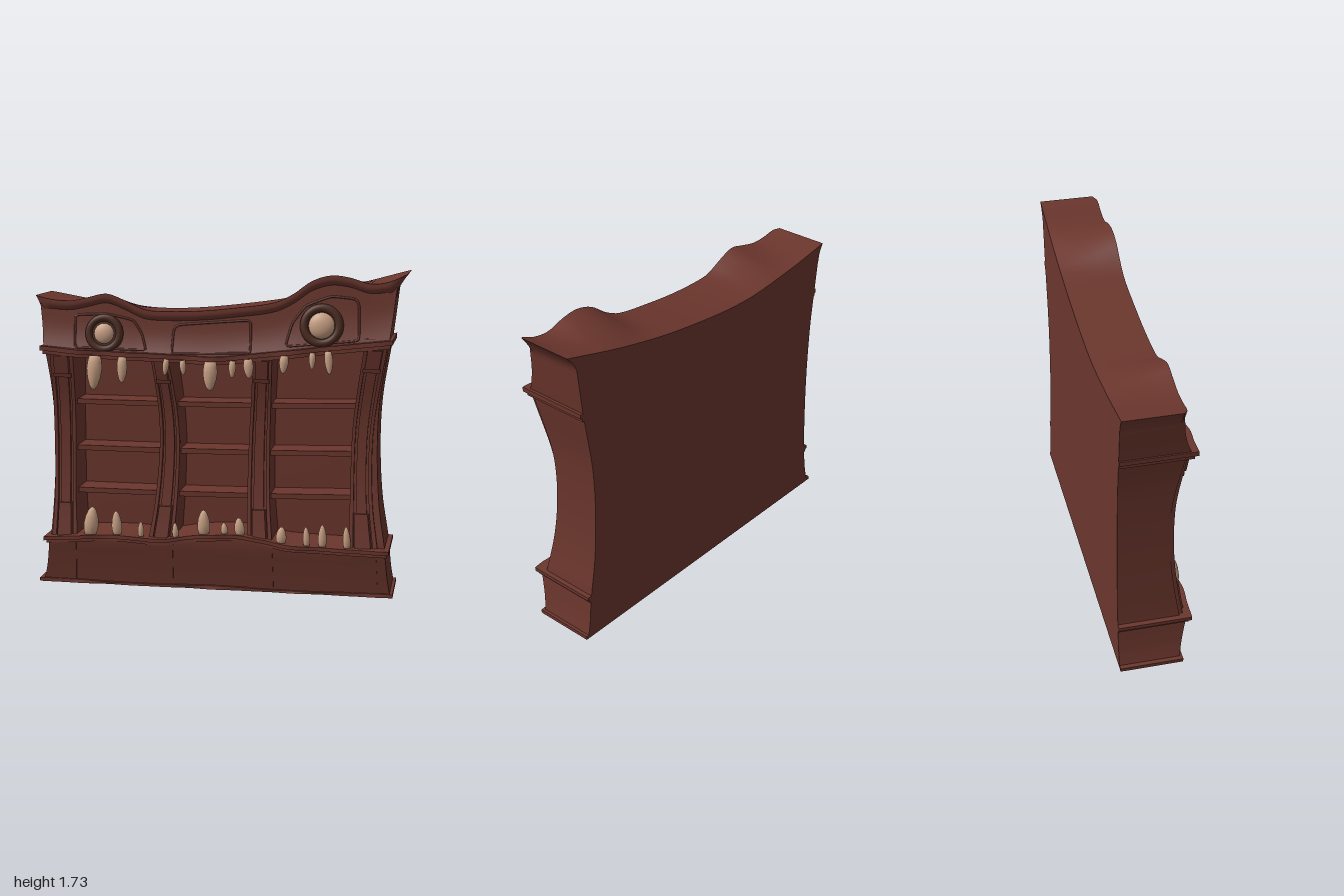
import * as THREE from 'three';

const { lerp, clamp } = THREE.MathUtils;

// smooth curve through [input, value] points
function curve(...p) {
  const slope = (i) => {
    const a = p[Math.max(i - 1, 0)], b = p[Math.min(i + 1, p.length - 1)];
    return (b[1] - a[1]) / (b[0] - a[0]);
  };
  return (v) => {
    v = clamp(v, p[0][0], p[p.length - 1][0]);
    let i = 0;
    while (i < p.length - 2 && v > p[i + 1][0]) i++;
    const h = p[i + 1][0] - p[i][0], t = (v - p[i][0]) / h, t2 = t * t, t3 = t2 * t;
    return (2 * t3 - 3 * t2 + 1) * p[i][1] + (t3 - 2 * t2 + t) * h * slope(i)
      + (3 * t2 - 2 * t3) * p[i + 1][1] + (t3 - t2) * h * slope(i + 1);
  };
}

// outline and depth curves of the cabinet
const BACK = -0.22;
const left = curve([0, -0.98], [0.1, -0.955], [0.25, -0.935], [0.5, -0.92], [0.8, -0.915], [1.1, -0.925], [1.3, -0.945], [1.55, -0.972]);
const right = curve([0, 0.937], [0.1, 0.92], [0.25, 0.905], [0.5, 0.866], [0.8, 0.85], [1.05, 0.86], [1.35, 0.905], [1.66, 0.942]);
const crest = curve([-1, 1.585], [-0.9, 1.565], [-0.8, 1.56], [-0.7, 1.58], [-0.6, 1.6], [-0.5, 1.565], [-0.4, 1.52], [-0.3, 1.51],
  [-0.1, 1.515], [0.1, 1.535], [0.3, 1.565], [0.4, 1.61], [0.5, 1.68], [0.6, 1.71], [0.7, 1.7], [0.8, 1.67], [0.9, 1.68], [1, 1.725]);
const backCrest = curve([-1, 1.585], [-0.7, 1.535], [-0.3, 1.5], [0.2, 1.545], [0.6, 1.62], [1, 1.725]);
const upperLine = curve([-0.96, 1.305], [-0.7, 1.285], [-0.35, 1.275], [0, 1.265], [0.25, 1.29], [0.5, 1.32], [0.93, 1.37]);
const lowerLine = curve([-0.96, 0.25], [-0.7, 0.27], [-0.5, 0.275], [-0.3, 0.265], [-0.1, 0.295], [0.1, 0.305], [0.25, 0.285], [0.4, 0.262], [0.93, 0.25]);
const frontZ = curve([0.25, 0.11], [0.4, 0.085], [0.6, 0.06], [0.8, 0.05], [1, 0.058], [1.2, 0.095], [1.4, 0.135]);
const plinthZ = curve([0, 0.1], [0.1, 0.115], [0.25, 0.143]);
const headProfile = curve([0, 0.142], [0.25, 0.118], [0.55, 0.1], [1, 0.09]);
const headZ = (x, y) => headProfile((y - upperLine(x)) / (crest(x) - upperLine(x)));
const scallop = (x) => 0.008 * Math.cos(x * 15.5) + 0.005 * Math.cos(x * 27 + 1);

// box whose points are placed by a rule of s (across), t (up), w (back to front)
function warpBox(rule, ns, nt, nw = 1) {
  const g = new THREE.BoxGeometry(1, 1, 1, ns, nt, nw), p = g.attributes.position;
  for (let i = 0; i < p.count; i++) p.setXYZ(i, ...rule(p.getX(i) + 0.5, p.getY(i) + 0.5, p.getZ(i) + 0.5));
  g.computeVertexNormals();
  return g;
}

export function createModel() {
  const model = new THREE.Group();
  const mat = (name, color) => new THREE.MeshStandardMaterial({ name, color });
  const wood = mat('red brown wood', 0x6b362d);
  const dark = mat('dark socket brown', 0x4a2a1f);
  const bone = mat('bone', 0xc9a084);
  const add = (name, geo, material = wood, parent = model) => {
    const m = new THREE.Mesh(geo, material);
    m.name = name;
    parent.add(m);
    return m;
  };

  // back panel of the shelf space
  add('backPanel', warpBox((s, t, w) => {
    const y = lerp(0.2, 1.36, t);
    return [lerp(left(y) + 0.01, right(y) - 0.01, s), y, lerp(BACK, -0.13, w)];
  }, 12, 20));

  // plinth and its foot moulding
  add('plinth', warpBox((s, t, w) => {
    const y = t * (lowerLine(lerp(-0.94, 0.91, s)) + 0.005);
    return [lerp(left(y), right(y), s), y, lerp(BACK, plinthZ(y), w)];
  }, 40, 8));
  add('footMoulding', warpBox((s, t, w) => {
    const x = lerp(-1, 0.95, s);
    return [x, t * (0.016 + 0.004 * Math.cos(x * 7)), lerp(BACK, 0.117 + 0.4 * scallop(x) * (1 - t), w)];
  }, 60, 1));

  // head, filled from the upper ledge to the crest
  add('head', warpBox((s, t, w) => {
    const x0 = lerp(-0.95, 0.92, s);
    const top = lerp(backCrest(x0), crest(x0), w) - 0.03;
    const y = lerp(upperLine(x0), top, t), x = lerp(left(y), right(y), s);
    return [x, y, lerp(BACK, headProfile(t), w)];
  }, 60, 10, 4));

  // overhanging cornice with hooked ends
  add('cornice', warpBox((s, t, w) => {
    const x = lerp(lerp(-0.968, -1, t * t), lerp(0.937, 1, t * t), s);
    const end = Math.max(0, Math.abs(2 * s - 1) - 0.94) / 0.06;
    const top = lerp(backCrest(x), crest(x), w);
    const z = 0.088 + 0.017 * Math.sin(Math.min(1, t * 1.3) * Math.PI * 0.6) - 0.025 * end ** 3;
    return [x, top - (1 - t) * (0.055 + 0.035 * end), lerp(BACK, z, w)];
  }, 80, 5, 6));

  // ledges above and below the shelves, each a lip over a smaller moulding
  const ledge = (name, line, x0, x1, dy, h, z, wave) => add(name, warpBox((s, t, w) => {
    const x = lerp(x0, x1, s);
    return [x, line(x) + dy + h * t, lerp(BACK, z + wave * scallop(x), w)];
  }, 80, 1, 4));
  ledge('upperLedge', upperLine, -0.957, 0.928, -0.008, 0.024, 0.172, 1);
  ledge('upperLedgeMoulding', upperLine, -0.948, 0.915, -0.028, 0.022, 0.152, 0.6);
  ledge('lowerLedge', lowerLine, -0.96, 0.928, -0.004, 0.02, 0.168, 0.8);
  ledge('lowerLedgeMoulding', lowerLine, -0.948, 0.915, -0.022, 0.02, 0.152, 0.5);

  // shelves
  [0.51, 0.748, 1.005].forEach((y) => add('shelf', warpBox((s, t, w) => {
    const x = lerp(-0.82, 0.78, s);
    return [x, y + 0.012 * x * x + 0.01 * x + 0.028 * (t - 0.5), lerp(-0.15, 0.035, w)];
  }, 24, 1)));

  // bowed pillars: centre and half width over height
  const pillars = [
    { c: curve([0.25, -0.85], [0.8, -0.852], [1.3, -0.85]), w: curve([0.25, 0.072], [0.5, 0.06], [1.3, 0.064]), side: -1 },
    { c: curve([0.25, -0.31], [0.5, -0.283], [0.8, -0.268], [1, -0.278], [1.3, -0.315]), w: curve([0.25, 0.07], [0.5, 0.06], [1.3, 0.046]), side: 0 },
    { c: curve([0.25, 0.235], [0.5, 0.222], [0.8, 0.222], [1, 0.23], [1.3, 0.247]), w: curve([0.25, 0.068], [0.5, 0.061], [1.3, 0.05]), side: 0 },
    { c: curve([0.25, 0.79], [0.5, 0.773], [0.8, 0.77], [1, 0.785], [1.35, 0.84]), w: curve([0.25, 0.078], [0.5, 0.06], [0.8, 0.055], [1.35, 0.06]), side: 1 },
  ];
  pillars.forEach(({ c, w: half, side }) => {
    const group = new THREE.Group();
    group.name = 'pillar';
    model.add(group);
    const ceiling = upperLine(c(1.3));
    // solid upright reaching back, running to the outer wall on the end pillars
    add('upright', warpBox((s, t, w) => {
      const y = lerp(0.22, ceiling + 0.03, t);
      const a = side < 0 ? left(y) : c(y) - half(y), b = side > 0 ? right(y) : c(y) + half(y);
      return [lerp(a, b, s), y, lerp(BACK, frontZ(y), w)];
    }, 2, 24, 2), wood, group);
    // raised trim that follows the pillar
    const strip = (name, a, b, y0, y1, dz, taper = 0) => add(name, warpBox((s, t, w) => {
      const y = lerp(y0, y1, t);
      return [c(y) + half(y) * lerp(a, b, s) * (1 - taper * w), y, lerp(frontZ(y) - 0.01, frontZ(y) + dz, w)];
    }, 1, 20), wood, group);
    strip('leftRail', -1, -0.68, 0.27, ceiling, 0.02);
    strip('rightRail', 0.68, 1, 0.27, ceiling, 0.02);
    strip('centreStrip', -0.45, 0.45, 0.27, ceiling, 0.014);
    strip('footBlock', -0.62, 0.62, 0.27, 0.45, 0.032, 0.12);
    strip('neckBand', -0.8, 0.8, ceiling - 0.15, ceiling - 0.13, 0.03);
    strip('capital', -0.72, 0.72, ceiling - 0.13, ceiling - 0.03, 0.04, 0.12);
    // pedestal on the plinth below
    add('pedestal', warpBox((s, t, w) => {
      const y = lerp(0.012, lowerLine(c(0.25)) - 0.01, t);
      return [c(0.25) + lerp(-0.07, 0.07, s) + (0.25 - y) * 0.06 * c(0.25), y, lerp(0.05, plinthZ(y) + 0.006, w)];
    }, 1, 6), wood, group);
  });

  // thin mouldings around the three panels of the head
  [
    [[-0.77, 1.32], [-0.775, 1.47], [-0.75, 1.485], [-0.6, 1.49], [-0.46, 1.46], [-0.41, 1.39], [-0.385, 1.31], [-0.42, 1.305], [-0.74, 1.312]],
    [[-0.24, 1.295], [-0.235, 1.41], [-0.2, 1.44], [0.15, 1.468], [0.178, 1.45], [0.18, 1.31], [0.15, 1.3], [-0.21, 1.29]],
    [[0.37, 1.35], [0.4, 1.46], [0.47, 1.55], [0.6, 1.6], [0.72, 1.59], [0.745, 1.56], [0.75, 1.4], [0.73, 1.375], [0.4, 1.342]],
  ].forEach((pts) => {
    const path = new THREE.CatmullRomCurve3(pts.map(([x, y]) => new THREE.Vector3(x, y, headZ(x, y))), true, 'catmullrom', 0.2);
    add('panelMoulding', new THREE.TubeGeometry(path, 80, 0.006, 6, true));
  });

  // eyes in dark ringed sockets, tilted with the face
  [[-0.612, 1.388, 0.105, 0.056], [0.555, 1.45, 0.115, 0.07]].forEach(([x, y, r, ball]) => {
    const eye = new THREE.Group();
    eye.name = 'eye';
    eye.position.set(x, y, headZ(x, y) + 0.004);
    eye.rotation.x = -0.12;
    model.add(eye);
    const tube = r * 0.2;
    add('socketRing', new THREE.TorusGeometry(r - tube, tube, 12, 36), dark, eye).scale.z = 0.9;
    add('socket', new THREE.CylinderGeometry(r - tube, r - tube, 0.014, 32), dark, eye).rotation.x = Math.PI / 2;
    add('eyeball', new THREE.SphereGeometry(ball, 24, 16), bone, eye).scale.z = 0.5;
  });

  // fangs: x, tip height, width, sideways lean
  const fang = new THREE.LatheGeometry(
    [[0, 0], [0.36, 0], [0.46, 0.18], [0.5, 0.38], [0.42, 0.65], [0.27, 0.87], [0.12, 0.97], [0, 1]].map(([x, y]) => new THREE.Vector2(x, y)), 12);
  const teeth = (name, list, base, z, lean, flip) => list.forEach(([x, tip, width, tilt]) => {
    const tooth = add(name, fang, bone);
    tooth.position.set(x, base(x), z);
    tooth.scale.set(width, Math.abs(tip - base(x)), Math.max(0.035, width * 0.75));
    tooth.rotation.set(flip ? Math.PI - lean : lean, 0, tilt);
  });
  teeth('upperTooth', [[-0.655, 1.09, 0.085, 0.03], [-0.505, 1.13, 0.058, 0], [-0.265, 1.175, 0.036, 0.08], [-0.178, 1.18, 0.036, -0.1],
    [-0.028, 1.1, 0.08, 0], [0.09, 1.17, 0.04, 0], [0.172, 1.17, 0.055, -0.1], [0.365, 1.2, 0.05, 0.05], [0.512, 1.225, 0.036, 0], [0.593, 1.2, 0.045, -0.1]],
  (x) => upperLine(x) - 0.01, 0.158, 0.12, true);
  teeth('lowerTooth', [[-0.705, 0.44, 0.085, -0.12], [-0.55, 0.42, 0.06, 0.05], [-0.418, 0.365, 0.036, 0], [-0.225, 0.368, 0.036, 0.05], [-0.07, 0.445, 0.072, 0],
    [0.045, 0.38, 0.04, 0.08], [0.13, 0.41, 0.058, 0.1], [0.35, 0.37, 0.058, -0.05], [0.49, 0.375, 0.04, 0.05], [0.573, 0.39, 0.048, 0], [0.705, 0.385, 0.042, 0.05]],
  (x) => lowerLine(x) + 0.01, 0.132, 0, false);

  return model;
}
